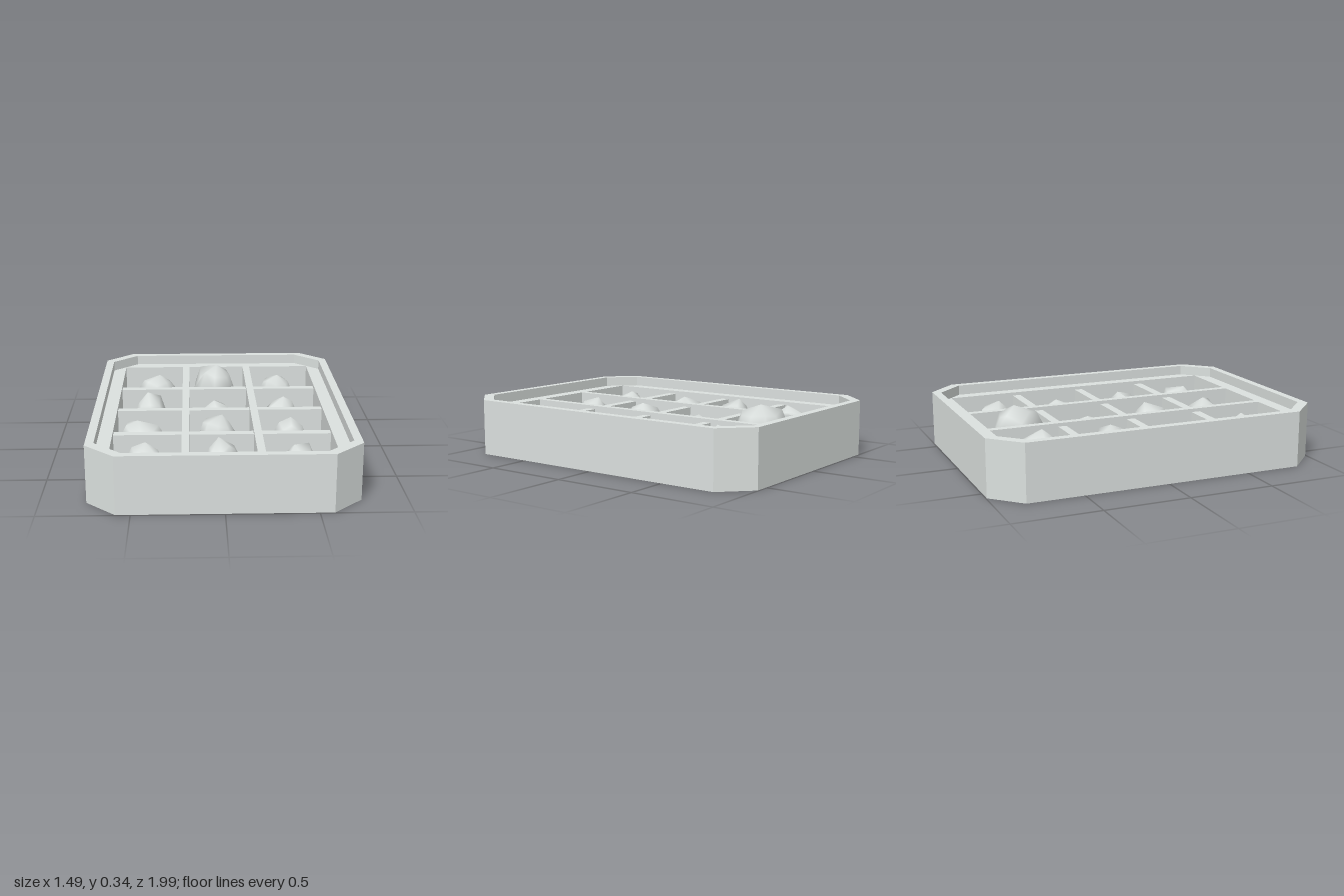
import * as THREE from 'three';

const FLOOR = 0.05, BAR = 0.25, LEDGE = 0.27, TOP = 0.33;

// Corner points, counterclockwise, of a rectangle with cut corners: half sizes w, d and cut c
function cutRect(w, d, c) {
  return [[w - c, -d], [w, c - d], [w, d - c], [w - c, d], [c - w, d], [-w, d - c], [-w, c - d], [c - w, -d]]
    .map(([x, y]) => new THREE.Vector2(x, y));
}

// Extrude a plan outline (x, -z) with holes from height y0 to y1
function slab(name, outline, holes, y0, y1, material) {
  const shape = new THREE.Shape(outline);
  shape.holes = holes.map((pts) => new THREE.Path(pts));
  const geo = new THREE.ExtrudeGeometry(shape, { depth: y1 - y0, bevelEnabled: false });
  geo.rotateX(-Math.PI / 2);
  geo.translate(0, y0, 0);
  const mesh = new THREE.Mesh(geo, material);
  mesh.name = name;
  return mesh;
}

// Upright divider board standing on the floor
function board(name, x0, x1, z0, z1, top, material) {
  const mesh = new THREE.Mesh(new THREE.BoxGeometry(x1 - x0, top - FLOOR, z1 - z0), material);
  mesh.position.set((x0 + x1) / 2, (FLOOR + top) / 2, (z0 + z1) / 2);
  mesh.name = name;
  return mesh;
}

// Small seeded generator for the uneven stones
function seeded(seed) {
  let s = seed;
  return () => ((s = (s * 16807) % 2147483647) / 2147483647);
}

// Faceted, smooth-shaded stone from rings that follow its plan radii
function stoneGeometry(radii, height, rand) {
  const n = radii.length;
  const rings = [[0.62, 0.12], [1, 0.45], [0.64, 0.8]]; // [radius factor, height factor]
  const pos = [0, 0, 0];
  rings.forEach(([f, h], k) => {
    for (let i = 0; i < n; i++) {
      const a = (i / n) * Math.PI * 2;
      const r = radii[i] * (k === 1 ? 1 : f + (rand() - 0.5) * 0.24);
      pos.push(r * Math.cos(a), height * (h + (rand() - 0.5) * 0.2), r * Math.sin(a));
    }
  });
  pos.push((rand() - 0.5) * 0.06, height, (rand() - 0.5) * 0.06);
  const apex = pos.length / 3 - 1, index = [];
  const at = (k, i) => 1 + k * n + (i % n);
  for (let i = 0; i < n; i++) {
    index.push(0, at(0, i), at(0, i + 1));
    for (let k = 0; k < rings.length - 1; k++) {
      const a = at(k, i), b = at(k, i + 1), c = at(k + 1, i + 1), d = at(k + 1, i);
      // alternate the diagonals for a chipped look
      if ((i + k) % 2) index.push(a, d, c, a, c, b);
      else index.push(a, d, b, b, d, c);
    }
    index.push(at(2, i), apex, at(2, i + 1));
  }
  const geo = new THREE.BufferGeometry();
  geo.setAttribute('position', new THREE.Float32BufferAttribute(pos, 3));
  geo.setIndex(index);
  geo.computeVertexNormals();
  return geo;
}

// Stones: x, z, top height, then eight plan radii (hundredths) from +x round to +z
const STONES = [
  [-0.40, -0.63, 0.29, 14, 15, 13, 13, 14, 13, 14, 16],
  [-0.02, -0.64, 0.345, 14, 15, 17, 14, 14, 17, 16, 16],
  [0.39, -0.65, 0.28, 12, 13, 11, 12, 12, 12, 12, 12],
  [-0.43, -0.20, 0.29, 10, 12, 12, 11, 11, 12, 12, 13],
  [-0.02, -0.20, 0.24, 11, 9, 10, 10, 11, 12, 11, 10],
  [0.39, -0.22, 0.25, 11, 12, 12, 13, 11, 12, 12, 14],
  [-0.47, 0.23, 0.26, 14, 16, 12, 12, 13, 16, 13, 12],
  [-0.02, 0.22, 0.28, 12, 14, 13, 13, 12, 14, 12, 14],
  [0.41, 0.22, 0.26, 11, 10, 9, 12, 11, 10, 8, 12],
  [-0.44, 0.64, 0.27, 11, 15, 10, 11, 12, 12, 11, 13],
  [-0.01, 0.61, 0.28, 11, 10, 12, 12, 10, 12, 11, 14],
  [0.42, 0.635, 0.26, 11, 14, 12, 14, 10, 12, 12, 12],
];

export function createModel() {
  const group = new THREE.Group();
  const material = new THREE.MeshStandardMaterial({ color: 0xdbe0de });
  const inner = cutRect(0.697, 0.947, 0.152);

  // Outer wall and floor
  group.add(slab('trayWall', cutRect(0.745, 0.995, 0.165), [inner], 0, TOP, material));
  group.add(slab('trayFloor', inner, [], 0, FLOOR, material));

  // Ledge frame around the compartments; its corners stay just inside the cut corners
  const well = [[-0.62, -0.865], [0.62, -0.865], [0.62, 0.865], [-0.62, 0.865]]
    .map(([x, y]) => new THREE.Vector2(x, y));
  group.add(slab('ledge', inner, [well], FLOOR, LEDGE, material));

  // Two long dividers, with lower cross bars between them
  for (const [x0, x1] of [[-0.23, -0.185], [0.18, 0.225]]) {
    group.add(board('longDivider', x0, x1, -0.865, 0.865, LEDGE, material));
  }
  for (const [z0, z1] of [[-0.46, -0.41], [-0.03, 0.02], [0.40, 0.455]]) {
    for (const [x0, x1] of [[-0.62, -0.23], [-0.185, 0.18], [0.225, 0.62]]) {
      group.add(board('crossBar', x0, x1, z0, z1, BAR, material));
    }
  }

  // One stone resting in every compartment
  const stones = new THREE.Group();
  stones.name = 'stones';
  const rand = seeded(4711);
  STONES.forEach(([x, z, top, ...radii], i) => {
    const geo = stoneGeometry(radii.map((r) => r / 100), top - FLOOR, rand);
    const stone = new THREE.Mesh(geo, material);
    stone.name = `stone${i + 1}`;
    stone.position.set(x, FLOOR, z);
    stones.add(stone);
  });
  group.add(stones);
  return group;
}
